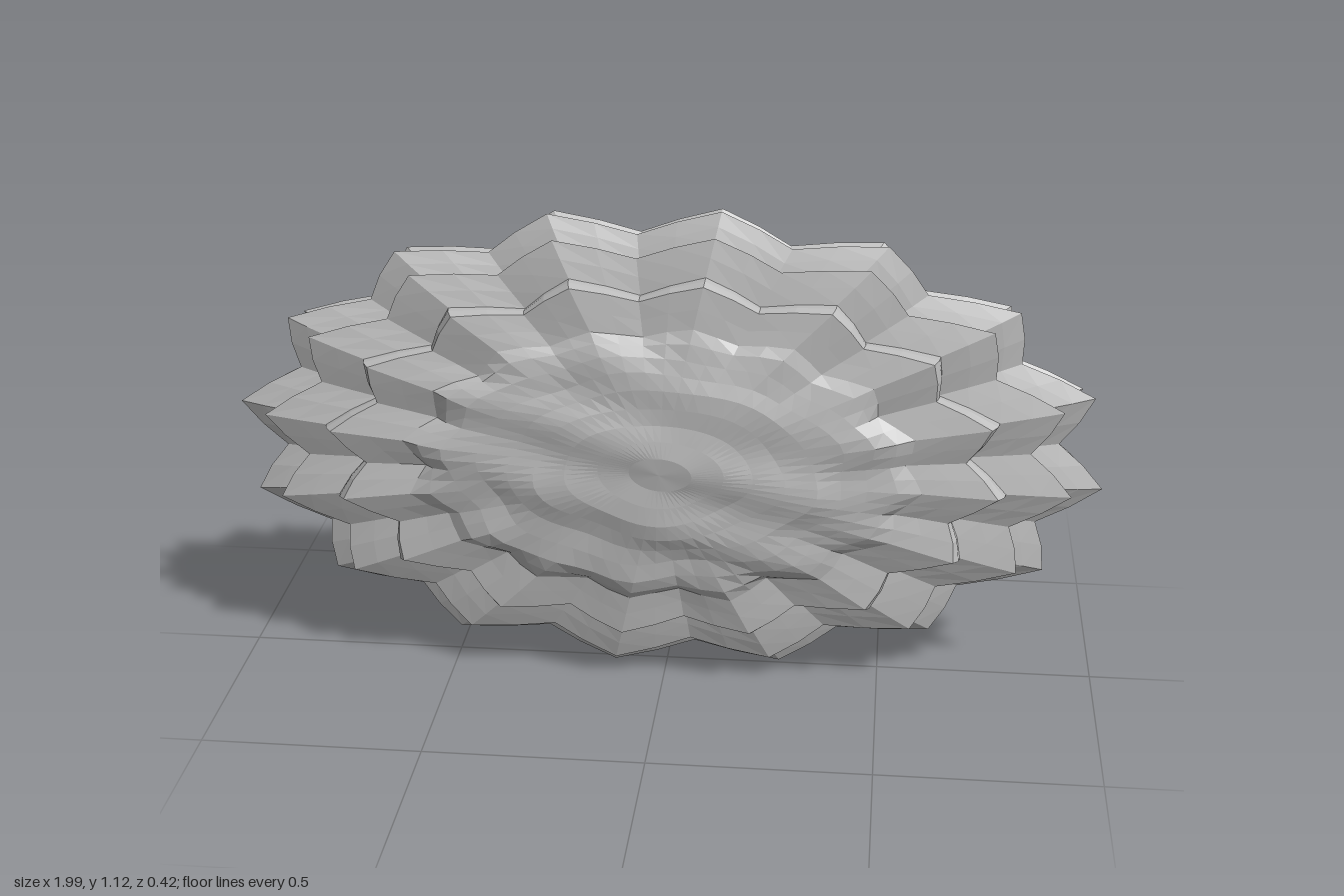
import * as THREE from 'three';

const RADII = new THREE.Vector3(0.905, 0.51, 0.2);
const TURN = THREE.MathUtils.degToRad(-7); // angle of the first rim bump
const RING_STEP = Math.PI / 40;

// Relative swelling of the surface in a given direction
function swelling(d) {
  const polar = Math.acos(THREE.MathUtils.clamp(d.z, -1, 1));
  const around = Math.atan2(d.y, d.x);
  const rim = THREE.MathUtils.smoothstep(Math.sin(polar), 0.4, 0.8);

  // Rim: sixteen scallops plus parallel ridges
  const scallops = 0.06 * Math.cos(16 * (around - TURN));
  const ridges = 0.05 * Math.cos((Math.PI / 2) * (polar / RING_STEP - 19));

  // Broad faces: a slanted lattice of shallow bumps
  const lattice = 0.05 * Math.sin(15 * d.x + 6 * d.y) * Math.cos(13 * d.y - 5 * d.x);

  return 1 + rim * (scallops + ridges) + (1 - rim) * lattice;
}

export function createModel() {
  const group = new THREE.Group();
  group.name = 'bumpyStone';

  const stoneGrey = new THREE.MeshStandardMaterial({ color: 0xbcbcbc });
  stoneGrey.name = 'stoneGrey';
  stoneGrey.flatShading = true;

  // Sphere with its poles on the broad faces
  const geometry = new THREE.SphereGeometry(1, 64, 40);
  geometry.rotateX(Math.PI / 2);
  geometry.rotateZ(TURN);

  const position = geometry.attributes.position;
  const p = new THREE.Vector3();
  for (let i = 0; i < position.count; i++) {
    p.fromBufferAttribute(position, i).normalize();
    p.multiplyScalar(swelling(p)).multiply(RADII);
    position.setXYZ(i, p.x, p.y, p.z);
  }

  // Stand the stone on the ground
  geometry.computeBoundingBox();
  geometry.translate(0, -geometry.boundingBox.min.y, 0);
  geometry.computeVertexNormals();

  const stone = new THREE.Mesh(geometry, stoneGrey);
  stone.name = 'stone';
  group.add(stone);
  return group;
}
